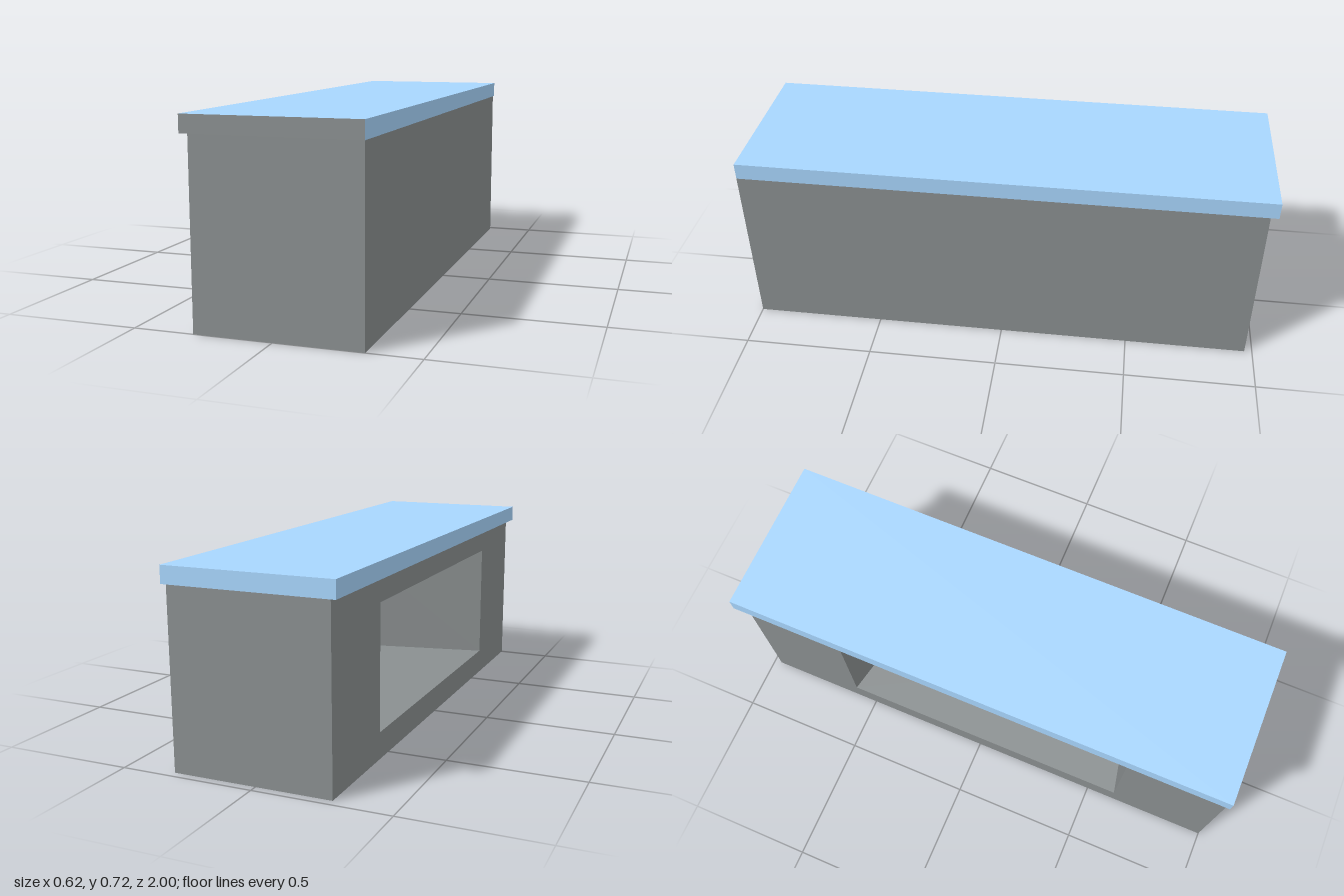
import * as THREE from 'three';

const grey = new THREE.MeshStandardMaterial({ color: 0x8a8f90, side: THREE.DoubleSide });
const blue = new THREE.MeshStandardMaterial({ color: 0xa8d6fe });

// Rectangle across z and y at depth x, counter-clockwise as seen from -x
const ring = (x, z0, z1, y0, y1) =>
  [[x, y0, z0], [x, y0, z1], [x, y1, z1], [x, y1, z0]];

// Flat-faced surface from a list of four-cornered faces
function quads(faces) {
  const positions = faces.flatMap(([a, b, c, d]) => [a, b, c, a, c, d].flat());
  const geometry = new THREE.BufferGeometry();
  geometry.setAttribute('position', new THREE.Float32BufferAttribute(positions, 3));
  geometry.computeVertexNormals();
  return geometry;
}

// Four walls between two rings, facing inward, plus the far end facing -x
function pocket(near, far) {
  const walls = near.map((p, i) => {
    const j = (i + 1) % 4;
    return [p, near[j], far[j], far[i]];
  });
  return [...walls, far];
}

export function createModel() {
  const group = new THREE.Group();
  const add = (name, geometry, material) => {
    const mesh = new THREE.Mesh(geometry, material);
    mesh.name = name;
    group.add(mesh);
    return mesh;
  };

  const left = -0.281, right = 0.3125, back = -0.97, front = 1, height = 0.66;
  const midZ = (back + front) / 2, sill = 0.1, lintel = 0.566;

  // Cabinet shell: the same walls turned to face outward
  const shell = pocket(ring(left, back, front, 0, height), ring(right, back, front, 0, height));
  add('cabinetShell', quads(shell.map((face) => [...face].reverse())), grey);

  // Long side panel with the rectangular opening
  const panel = new THREE.Shape([[back, 0], [front, 0], [front, height], [back, height]]
    .map(([z, y]) => new THREE.Vector2(z, y)));
  const opening = ring(left, midZ - 0.595, midZ + 0.595, sill, lintel);
  panel.holes.push(new THREE.Path(opening.map(([, y, z]) => new THREE.Vector2(z, y))));
  const panelGeometry = new THREE.ShapeGeometry(panel);
  panelGeometry.rotateY(-Math.PI / 2).translate(left, 0, 0);
  add('openingPanel', panelGeometry, grey);

  // Deep recess whose ends taper inward
  const recessBack = ring(0.306, midZ - 0.477, midZ + 0.477, sill, lintel);
  add('recess', quads(pocket(opening, recessBack)), grey);

  // Countertop overhanging at one long side and the back; front end and underside are plain
  const top = add('countertop', new THREE.BoxGeometry(0.625, 0.063, 2),
    [blue, blue, blue, grey, grey, blue]);
  top.position.y = height + 0.0315;

  return group;
}
